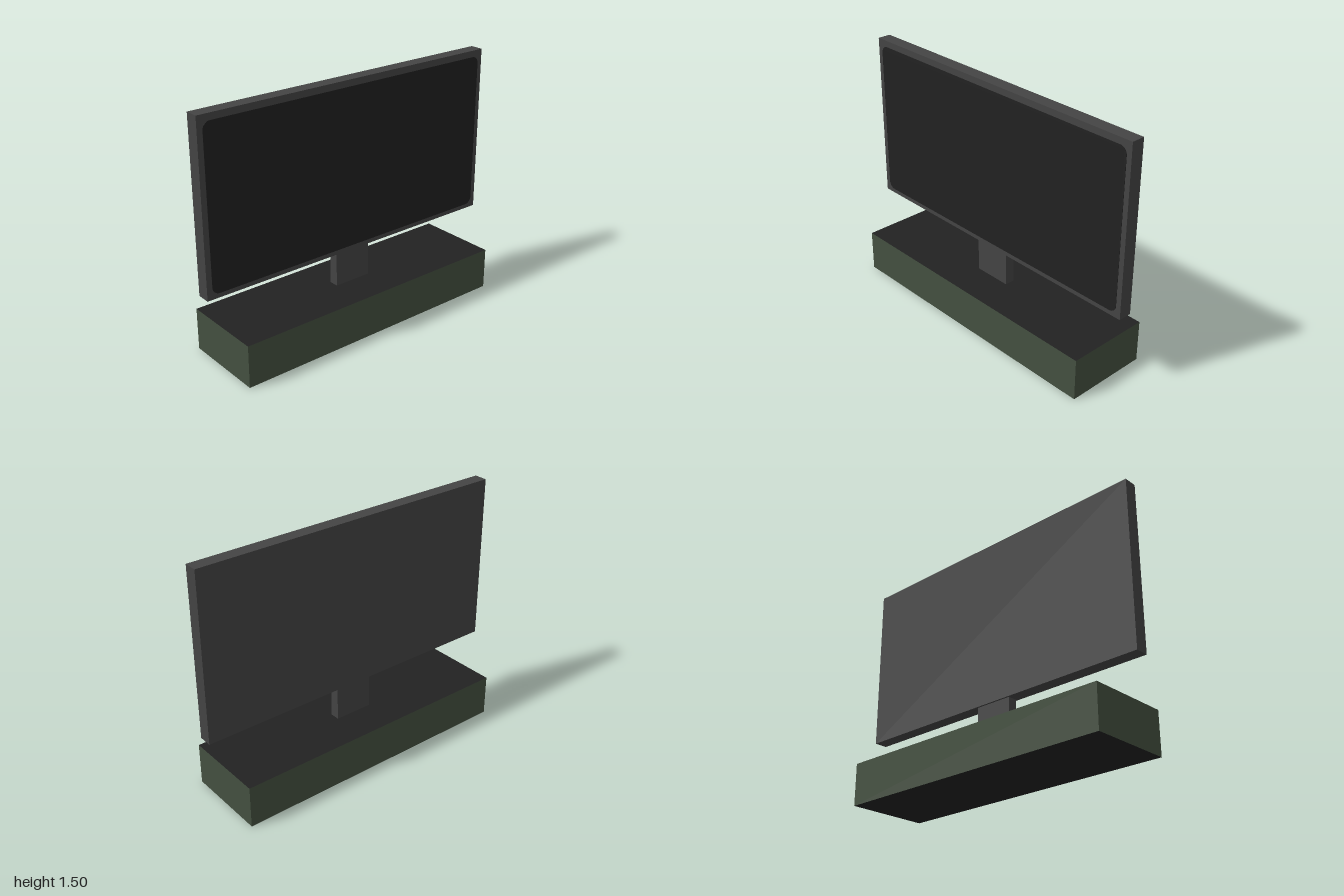
import * as THREE from 'three';

function material(name, color) {
  const m = new THREE.MeshStandardMaterial({ color });
  m.name = name;
  return m;
}

// Rounded rectangle centred on the origin
function roundedRect(w, h, r) {
  const x = w / 2, y = h / 2, s = new THREE.Shape();
  s.absarc(x - r, y - r, r, 0, Math.PI / 2);
  s.absarc(-x + r, y - r, r, Math.PI / 2, Math.PI);
  s.absarc(-x + r, -y + r, r, Math.PI, Math.PI * 1.5);
  s.absarc(x - r, -y + r, r, Math.PI * 1.5, Math.PI * 2);
  s.closePath();
  return s;
}

export function createModel() {
  const group = new THREE.Group();
  group.name = 'televisionOnStand';

  const grey = material('frameGrey', 0x444444);
  const black = material('matteBlack', 0x222222);
  const green = material('cabinetGreen', 0x445040);

  // Box spanning y0 to y1, centred on x and z
  function box(name, w, y0, y1, d, mat) {
    const mesh = new THREE.Mesh(new THREE.BoxGeometry(w, y1 - y0, d), mat);
    mesh.name = name;
    mesh.position.y = (y0 + y1) / 2;
    group.add(mesh);
  }

  // Cabinet: green sides, black top and underside
  box('cabinet', 1.804, 0, 0.258, 0.516, [green, green, black, black, green, green]);
  box('neck', 0.24, 0.258, 0.468, 0.06, grey);
  box('panelFrame', 2, 0.468, 1.498, 0.082, grey);

  // Thin screen plate on the front of the frame
  const plate = new THREE.ExtrudeGeometry(roundedRect(1.936, 0.964, 0.045),
    { depth: 0.003, bevelEnabled: false, curveSegments: 6 });
  const screen = new THREE.Mesh(plate, black);
  screen.name = 'screen';
  screen.position.set(0.001, 0.977, 0.04);
  group.add(screen);

  return group;
}
